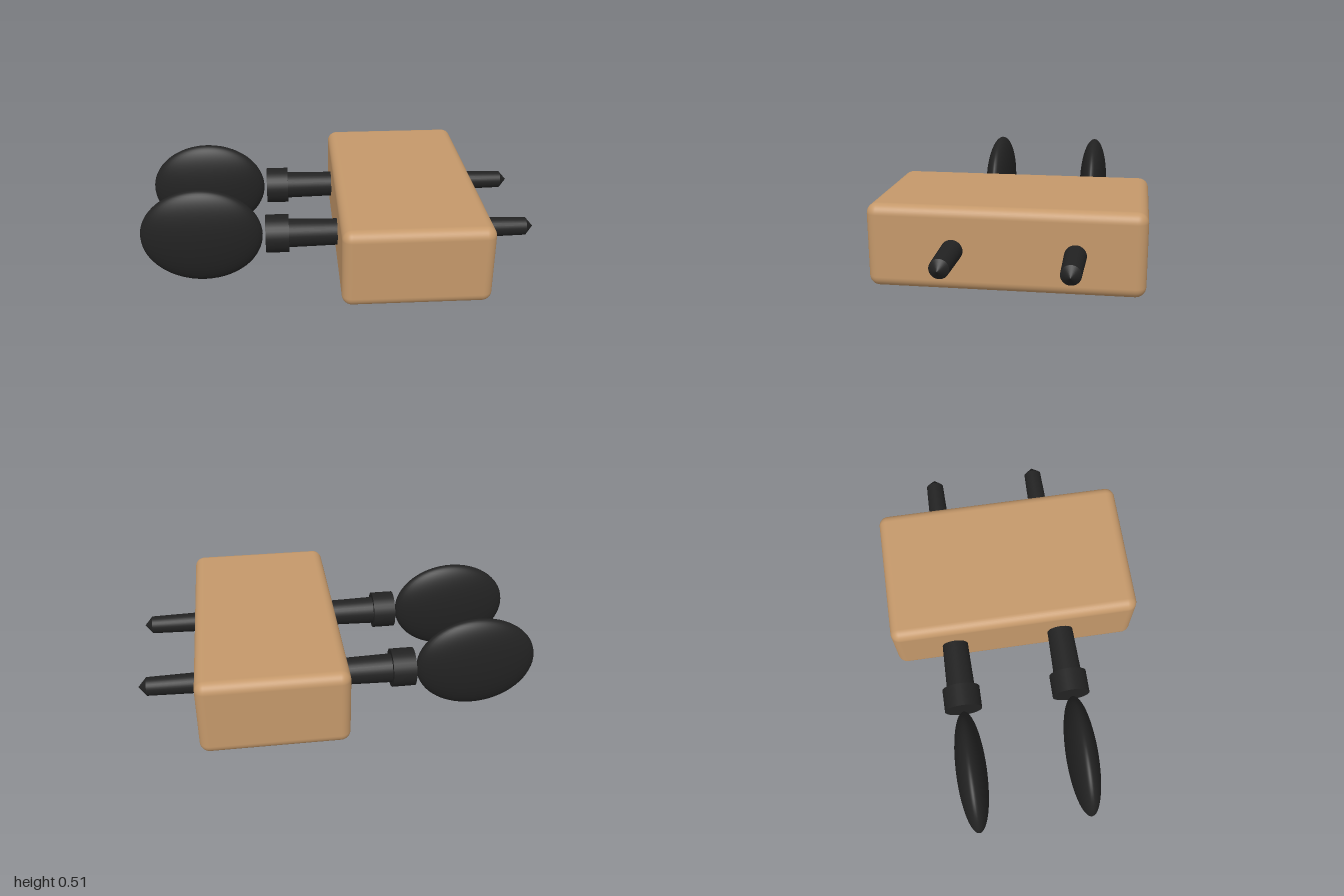
import * as THREE from 'three';
import { RoundedBoxGeometry } from 'three/addons/geometries/RoundedBoxGeometry.js';

const AXIS_Y = 0.256;

export function createModel() {
  const model = new THREE.Group();
  model.name = 'blockWithWingScrews';

  const tan = new THREE.MeshStandardMaterial({ color: 0xc4986a });
  tan.name = 'tan';
  const black = new THREE.MeshStandardMaterial({ color: 0x222222 });
  black.name = 'black';

  // Rounded block
  const block = new THREE.Mesh(new RoundedBoxGeometry(0.725, 0.4, 1.29, 5, 0.05), tan);
  block.name = 'block';
  block.position.set(0.353, 0.258, 0);
  model.add(block);

  // Round part lying along x from x0 to x1, with a radius at each end
  function rod(name, x0, x1, r0, r1) {
    const geometry = new THREE.CylinderGeometry(r1, r0, x1 - x0, 32);
    geometry.rotateZ(-Math.PI / 2);
    const mesh = new THREE.Mesh(geometry, black);
    mesh.name = name;
    mesh.position.x = (x0 + x1) / 2;
    return mesh;
  }

  // Two screws passing through the block
  for (const [name, z] of [['frontScrew', 0.24], ['backScrew', -0.325]]) {
    const screw = new THREE.Group();
    screw.name = name;
    screw.position.set(0, AXIS_Y, z);

    // Flattened oval grip
    const grip = new THREE.Mesh(new THREE.SphereGeometry(1, 48, 32), black);
    grip.name = 'grip';
    grip.scale.set(0.307, 0.253, 0.078);
    grip.position.x = -0.693;

    screw.add(
      grip,
      rod('collar', -0.37, -0.253, 0.097, 0.097),
      rod('shaft', -0.26, 0.96, 0.073, 0.046),
      rod('tip', 0.96, 1, 0.046, 0)
    );
    model.add(screw);
  }

  return model;
}
